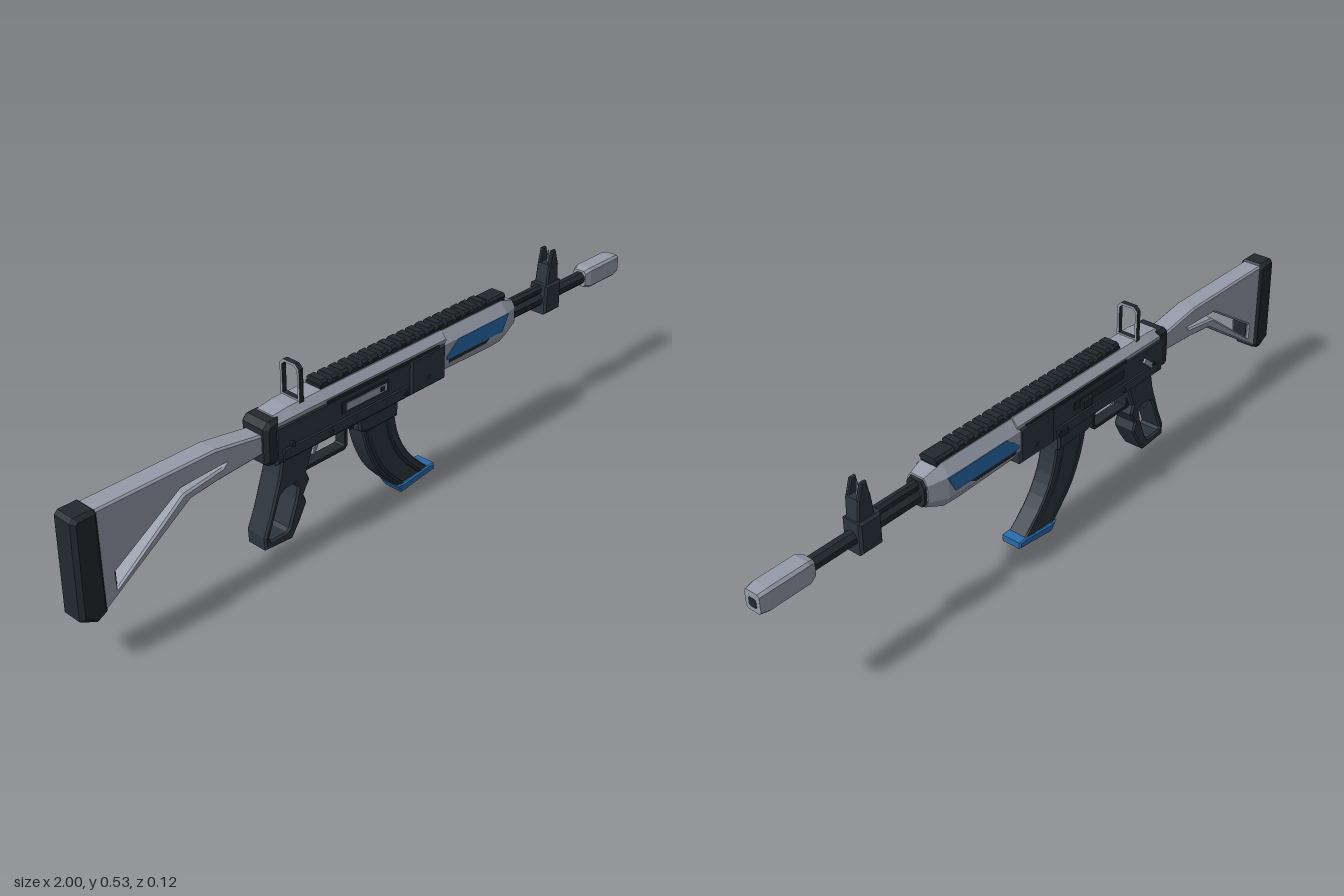
import * as THREE from 'three';

const mat = (name, color) => new THREE.MeshStandardMaterial({ name, color, flatShading: true });

export function createModel() {
  const dark = mat('dark metal', 0x2a353c);
  const black = mat('black metal', 0x23292e);
  const grey = mat('light grey', 0x959ba9);
  const blue = mat('blue accent', 0x296cab);

  const model = new THREE.Group();
  const body = new THREE.Group();
  body.name = 'body';
  body.position.z = 0.0075;
  model.add(body);

  const add = (name, geo, material, x = 0, y = 0, z = 0) => {
    const m = new THREE.Mesh(geo, material);
    m.name = name;
    m.position.set(x, y, z);
    body.add(m);
    return m;
  };
  // Outlines always run counter-clockwise so that hole walls face inward
  const path = (P, pts) => {
    const v = pts.map(p => new THREE.Vector2(p[0], p[1]));
    return new P(THREE.ShapeUtils.isClockWise(v) ? v.reverse() : v);
  };

  // Side profile in x,y extruded across z, with a bevel kept inside the outline
  const plate = (name, pts, hw, material, { holes = [], bevel = 0.006, z = 0 } = {}) => {
    const shape = path(THREE.Shape, pts);
    holes.forEach(h => shape.holes.push(path(THREE.Path, h)));
    const geo = new THREE.ExtrudeGeometry(shape, {
      depth: 2 * (hw - bevel), bevelEnabled: bevel > 0, bevelSize: bevel,
      bevelThickness: bevel, bevelOffset: -bevel, bevelSegments: 1,
    });
    geo.translate(0, 0, z - hw + bevel);
    return add(name, geo, material);
  };
  const rect = (x0, x1, y0, y1) => [[x0, y0], [x1, y0], [x1, y1], [x0, y1]];
  const box = (name, x0, x1, y0, y1, z0, z1, material) =>
    add(name, new THREE.BoxGeometry(x1 - x0, y1 - y0, z1 - z0), material,
      (x0 + x1) / 2, (y0 + y1) / 2, (z0 + z1) / 2);

  // Eight-sided cross-sections [x, half width, bottom, top, chamfer z, chamfer y] joined along x
  const loft = (name, sections, material) => {
    const rings = sections.map(([x, w, b, t, cz, cy]) => [
      [x, t, cz - w], [x, t, w - cz], [x, t - cy, w], [x, b + cy, w],
      [x, b, w - cz], [x, b, cz - w], [x, b + cy, -w], [x, t - cy, -w]]);
    const v = [];
    const last = rings.length - 1;
    for (let i = 0; i < last; i++) {
      for (let j = 0; j < 8; j++) {
        const k = (j + 1) % 8;
        const [a, b, c, d] = [rings[i][j], rings[i][k], rings[i + 1][k], rings[i + 1][j]];
        v.push(...a, ...b, ...c, ...a, ...c, ...d);
      }
    }
    for (let j = 1; j < 7; j++) {
      v.push(...rings[last][0], ...rings[last][j], ...rings[last][j + 1]);
      v.push(...rings[0][0], ...rings[0][j + 1], ...rings[0][j]);
    }
    const geo = new THREE.BufferGeometry();
    geo.setAttribute('position', new THREE.Float32BufferAttribute(v, 3));
    geo.computeVertexNormals();
    return add(name, geo, material);
  };
  const tube = (name, x0, x1, y, r, material) => {
    const geo = new THREE.CylinderGeometry(r, r, x1 - x0, 8);
    geo.rotateY(Math.PI / 8).rotateZ(Math.PI / 2);
    return add(name, geo, material, (x0 + x1) / 2, y, 0);
  };
  const pin = (name, x, y, z, r, len, material) =>
    add(name, new THREE.CylinderGeometry(r, r, len, 8).rotateX(Math.PI / 2), material, x, y, z);

  // Stock with a slanted opening, and its butt pad
  plate('stock',
    [[-0.94, 0.41], [-0.59, 0.41], [-0.43, 0.385], [-0.43, 0.335], [-0.59, 0.325],
      [-0.67, 0.315], [-0.94, 0.135]], 0.03, grey,
    { holes: [[[-0.892, 0.23], [-0.695, 0.355], [-0.56, 0.363], [-0.572, 0.354],
      [-0.69, 0.337], [-0.892, 0.185]]], bevel: 0.005 });
  box('stockInsert', -0.899, -0.889, 0.18, 0.232, -0.022, 0.022, black);
  plate('buttPad',
    [[-0.995, 0.405], [-0.985, 0.415], [-0.935, 0.415], [-0.925, 0.405], [-0.925, 0.14],
      [-0.955, 0.125], [-1, 0.15]], 0.037, black, { bevel: 0.01 });

  // Receiver
  plate('receiver', rect(-0.42, 0.18, 0.295, 0.4), 0.047, dark);
  plate('rearBlock',
    [[-0.45, 0.31], [-0.435, 0.3], [-0.4, 0.3], [-0.4, 0.42], [-0.435, 0.42], [-0.45, 0.405]],
    0.045, black, { bevel: 0.01 });
  plate('frontCollar', rect(0.05, 0.185, 0.3, 0.403), 0.0525, dark);
  plate('lowerRib', rect(-0.4, 0.05, 0.3, 0.335), 0.05, dark, { bevel: 0.004 });
  loft('topCover', [
    [-0.41, 0.043, 0.38, 0.424, 0.016, 0.018],
    [-0.36, 0.047, 0.38, 0.43, 0.018, 0.02],
    [0.19, 0.047, 0.38, 0.432, 0.018, 0.02]], grey);
  for (const s of [-1, 1]) {
    box('coverStrip', -0.25, 0.16, 0.399, 0.406, s * 0.047 - 0.003, s * 0.047 + 0.003, black);
    for (const [x, y] of [[-0.37, 0.34], [-0.24, 0.316], [0.03, 0.316], [0.12, 0.33]])
      pin('receiverPin', x, y, s * 0.049, 0.007, 0.01, black);
  }
  // Front side port
  box('portFrame', -0.2, -0.03, 0.347, 0.381, 0.044, 0.049, black);
  box('portCover', -0.185, -0.04, 0.354, 0.374, 0.045, 0.0515, grey);
  box('portMark', -0.065, -0.05, 0.358, 0.37, 0.049, 0.0525, black);
  // Back side bolt slot, knob and selector
  box('boltSlot', -0.24, -0.03, 0.355, 0.377, -0.05, -0.045, black);
  pin('boltStem', -0.065, 0.366, -0.052, 0.009, 0.016, black);
  plate('boltKnob', rect(-0.086, -0.044, 0.353, 0.38), 0.006, black, { bevel: 0.003, z: -0.0605 });
  const selector = box('selector', -0.025, 0.025, -0.007, 0.007, -0.052, -0.045, grey);
  selector.position.set(-0.35, 0.35, -0.049);
  selector.rotation.z = 0.7;
  box('magazineCatch', 0.0, 0.03, 0.303, 0.32, -0.0545, -0.045, black);

  // Handguard with blue side panels
  loft('handguard', [
    [0.17, 0.05, 0.31, 0.43, 0.022, 0.032],
    [0.39, 0.05, 0.305, 0.43, 0.022, 0.032],
    [0.44, 0.0495, 0.307, 0.43, 0.022, 0.032],
    [0.495, 0.033, 0.33, 0.412, 0.012, 0.018]], grey);
  loft('handguardCap', [
    [0.485, 0.031, 0.327, 0.41, 0.01, 0.015],
    [0.503, 0.028, 0.333, 0.405, 0.01, 0.015]], black);
  const panel = [[0.19, 0.352], [0.42, 0.352], [0.444, 0.398], [0.235, 0.398], [0.19, 0.362]];
  for (const s of [-1, 1]) {
    plate('bluePanel', panel, 0.003, blue, { bevel: 0, z: s * 0.0492 });
    plate('panelTrim', [[0.2, 0.341], [0.35, 0.341], [0.37, 0.352], [0.2, 0.352]], 0.003, black,
      { bevel: 0, z: s * 0.0482 });
  }

  // Top rail
  box('railBase', -0.25, 0.455, 0.424, 0.438, -0.026, 0.026, black);
  for (let i = 0; i < 18; i++) {
    const x = -0.245 + i * 0.0355;
    loft('railTooth', [
      [x, 0.027, 0.432, 0.452, 0.006, 0.007],
      [x + 0.02, 0.027, 0.432, 0.452, 0.006, 0.007]], black);
  }
  loft('railEnd', [
    [0.39, 0.027, 0.43, 0.447, 0.006, 0.007],
    [0.457, 0.027, 0.43, 0.447, 0.006, 0.007]], black);

  // Rear sight ring, facing along the barrel, with dark edges
  const ring = (w, b, t, c) => [[-w, b], [w, b], [w, t - c], [w - c, t], [c - w, t], [-w, t - c]];
  const sight = path(THREE.Shape, ring(0.033, 0.425, 0.527, 0.012));
  sight.holes.push(path(THREE.Path, ring(0.026, 0.435, 0.52, 0.009)));
  const sightGeo = new THREE.ExtrudeGeometry(sight, { depth: 0.014, bevelEnabled: false });
  add('rearSight', sightGeo.rotateY(Math.PI / 2), [grey, black], -0.327);

  // Barrel, gas tube and muzzle
  tube('barrel', 0.49, 0.87, 0.358, 0.02, black);
  tube('gasTube', 0.49, 0.66, 0.389, 0.014, black);
  loft('muzzle', [
    [0.84, 0.022, 0.334, 0.382, 0.007, 0.007],
    [0.86, 0.028, 0.327, 0.389, 0.007, 0.007],
    [0.975, 0.028, 0.327, 0.389, 0.007, 0.007],
    [1, 0.024, 0.331, 0.385, 0.006, 0.006]], grey);
  loft('bore', [
    [0.98, 0.0125, 0.3425, 0.3675, 0.004, 0.004],
    [1.001, 0.0125, 0.3425, 0.3675, 0.004, 0.004]], black);

  // Front sight
  plate('frontSightBlock', rect(0.64, 0.71, 0.316, 0.405), 0.03, dark);
  plate('frontSightBase', [[0.652, 0.4], [0.706, 0.4], [0.7, 0.462], [0.66, 0.462]], 0.022, dark,
    { bevel: 0.004 });
  for (const s of [-1, 1])
    plate('frontSightProng', [[0.66, 0.45], [0.702, 0.45], [0.686, 0.502], [0.67, 0.502]], 0.0058,
      dark, { bevel: 0.003, z: s * 0.0165 });
  add('frontSightPost', new THREE.CylinderGeometry(0.002, 0.005, 0.045, 6), grey, 0.68, 0.474);

  // Open-frame pistol grip
  plate('grip',
    [[-0.39, 0.3], [-0.28, 0.3], [-0.31, 0.225], [-0.3, 0.2], [-0.322, 0.165], [-0.312, 0.14],
      [-0.337, 0.095], [-0.365, 0.055], [-0.455, 0.062], [-0.457, 0.1], [-0.435, 0.15],
      [-0.4, 0.25]],
    0.034, dark,
    { holes: [[[-0.4, 0.197], [-0.385, 0.208], [-0.35, 0.21], [-0.34, 0.195], [-0.348, 0.16],
      [-0.375, 0.09], [-0.385, 0.083], [-0.436, 0.083], [-0.441, 0.092], [-0.422, 0.14]]],
      bevel: 0.005 });

  // Trigger and guard
  plate('triggerGuard',
    [[-0.31, 0.3], [-0.31, 0.217], [-0.16, 0.217], [-0.15, 0.227], [-0.15, 0.3]], 0.018, black,
    { holes: [[[-0.298, 0.29], [-0.298, 0.228], [-0.165, 0.228], [-0.161, 0.232],
      [-0.161, 0.29]]], bevel: 0.002 });
  plate('trigger',
    [[-0.265, 0.3], [-0.24, 0.3], [-0.242, 0.265], [-0.255, 0.24], [-0.262, 0.243], [-0.255, 0.27]],
    0.007, grey, { bevel: 0.002 });
  plate('magazineLever', [[-0.145, 0.3], [-0.115, 0.3], [-0.115, 0.262], [-0.135, 0.262]], 0.014,
    black, { bevel: 0.002 });

  // Curved magazine with side ribs, collar and blue foot
  const curve = pts => new THREE.SplineCurve(pts.map(p => new THREE.Vector2(...p)))
    .getPoints(10).map(p => [p.x, p.y]);
  const back = curve([[-0.11, 0.28], [-0.105, 0.24], [-0.085, 0.175], [-0.045, 0.1], [0.025, 0.025]]);
  const front = curve([[0.015, 0.28], [0.017, 0.24], [0.034, 0.175], [0.075, 0.105], [0.145, 0.035]]);
  plate('magazine', [...back, ...front.slice().reverse()], 0.0285, dark, { bevel: 0.004 });
  const between = t => back.map(([x, y], i) =>
    [x + (front[i][0] - x) * t, y + (front[i][1] - y) * t]);
  for (const [a, b] of [[0.1, 0.2], [0.7, 0.8]])
    plate('magazineRib', [...between(a), ...between(b).reverse()], 0.0305, dark, { bevel: 0.002 });
  plate('magazineCollar', [[-0.13, 0.3], [-0.125, 0.262], [-0.1, 0.25], [0.018, 0.25], [0.018, 0.3]],
    0.038, dark);
  plate('magazineFoot',
    [[0.02, 0.028], [0.05, 0.026], [0.145, 0.037], [0.17, 0.035], [0.17, 0.016], [0.04, 0]],
    0.0325, blue, { bevel: 0.004 });

  return model;
}
